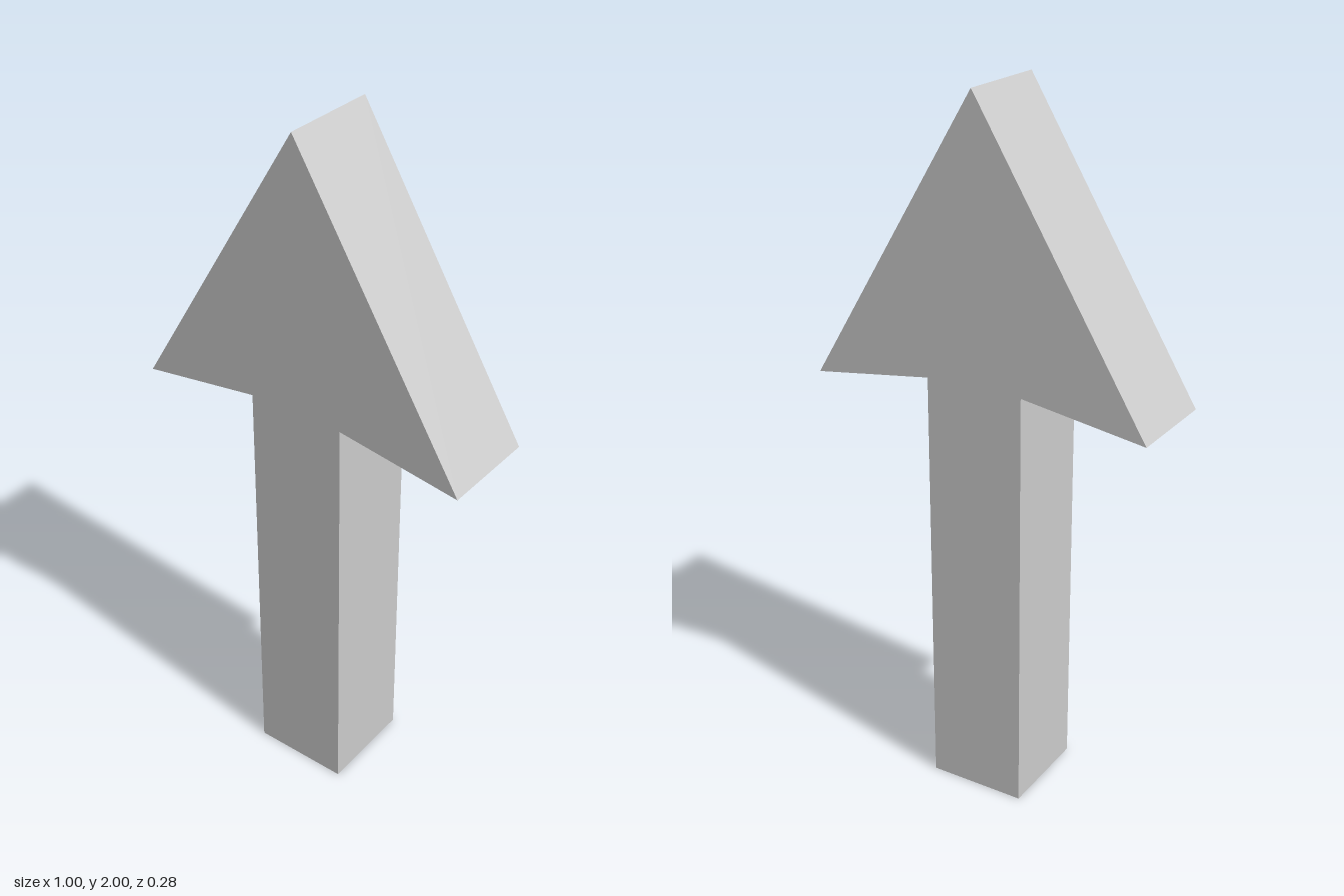
import * as THREE from 'three';

export function createModel() {
  const group = new THREE.Group();
  group.name = 'upArrow';

  const depth = 0.285;
  // Right half of the outline, from the foot of the shaft up to the tip
  const half = [[0.142, 0], [0.142, 1.236], [0.498, 1.183]];
  const mirrored = half.map(([x, y]) => [-x, y]).reverse();
  const outline = [...half, [0, 2], ...mirrored].map(([x, y]) => new THREE.Vector2(x, y));

  // Shaft and swept-back head as one solid slab
  const geometry = new THREE.ExtrudeGeometry(new THREE.Shape(outline), { depth, bevelEnabled: false });
  geometry.translate(0, 0, -depth / 2);

  const material = new THREE.MeshStandardMaterial({ color: 0xcccccc, flatShading: true });
  const arrow = new THREE.Mesh(geometry, material);
  arrow.name = 'arrowBody';
  group.add(arrow);
  return group;
}
